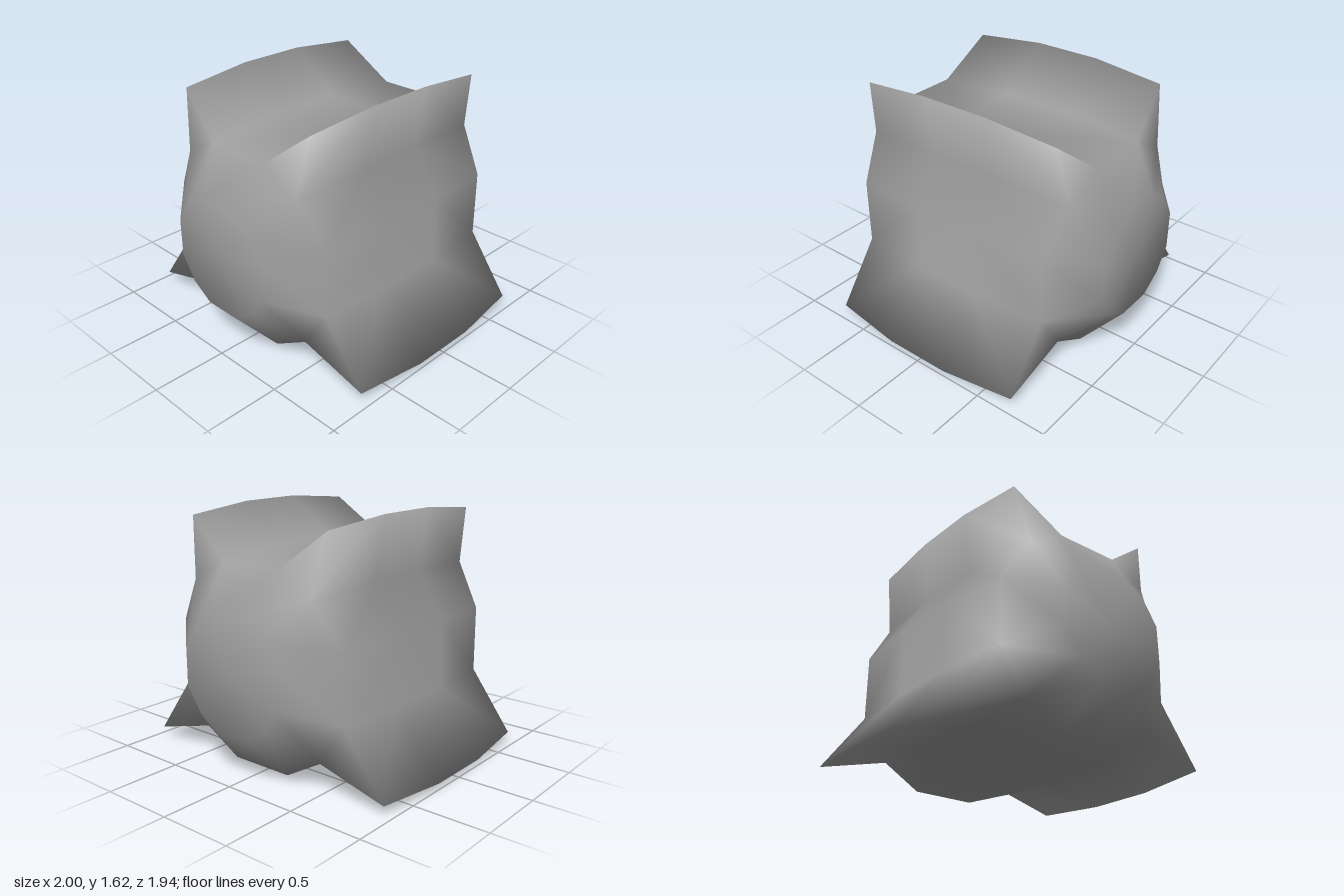
import * as THREE from 'three';

// Right half of a cross-section, top to bottom: [x, y, z of the end ring]
const MIDDLE = [[0.23, 1.365], [0.57, 1.62], [0.51, 1.21], [0.695, 0.91], [0.695, 0.46], [1, 0.04], [0.51, 0.155], [0.23, 0]];
const END = [[0.22, 1.325, 0.78], [0.55, 1.575, 0.72], [0.48, 1.19, 0.78], [0.66, 0.9, 0.72],
  [0.66, 0.46, 0.72], [0.95, 0.065, 0.72], [0.48, 0.19, 0.72], [0.22, 0.04, 0.72]];
// Small twelve-sided ring that closes each end
const CAP = [[0.125, 1.05], [0.275, 0.96], [0.375, 0.81], [0.375, 0.56], [0.275, 0.41], [0.125, 0.315]];
const N = 16;
// Ring points without the ear and foot tips
const BASE = [0, 2, 3, 4, 6, 7, 8, 9, 11, 12, 13, 15];
const TIPS = [[0, 1, 2], [4, 5, 6], [9, 10, 11], [13, 14, 15]];

// Full ring, clockwise seen from the front
function ring(half, side, depth) {
  const right = half.map(([x, y, z = depth]) => [x, y, side * z]);
  const left = right.map(([x, y, z]) => [-x, y, z]).reverse();
  return [...right, ...left];
}

// Smooth normals, each face weighted by its angle at the corner
function smoothNormals(points, faces) {
  const p = points.map((v) => new THREE.Vector3(...v));
  const normals = p.map(() => new THREE.Vector3());
  for (const f of faces) {
    f.forEach((id, k) => {
      const next = p[f[(k + 1) % f.length]].clone().sub(p[id]);
      const last = p[f[(k + f.length - 1) % f.length]].clone().sub(p[id]);
      const angle = next.angleTo(last);
      normals[id].addScaledVector(next.cross(last).normalize(), angle);
    });
  }
  return normals.flatMap((n) => n.normalize().toArray());
}

// Rounded block with ridges for ears and feet, run from back to front
function bodyGeometry() {
  const points = [
    ...ring(END, -1), ...ring(MIDDLE, -1, 0.23),
    ...ring(MIDDLE, 1, 0.23), ...ring(END, 1),
  ];
  const faces = [];

  // Walls between neighbouring rings, with mirrored diagonals
  for (let r = 0; r < 3; r++) {
    for (let i = 0; i < N; i++) {
      const a = r * N + i, b = r * N + (i + 1) % N;
      const flip = (r === 2) !== (i < 8);
      faces.push(flip ? [a + N, b + N, b, a] : [a, a + N, b + N, b]);
    }
  }

  // Ends: ear and foot tips, a sloping band and a round flat centre
  for (const side of [-1, 1]) {
    const base = side > 0 ? 3 * N : 0;
    const inner = points.length;
    points.push(...ring(CAP, side, 0.97), [0, 0.685, 0.97 * side]);
    const end = TIPS.map((tip) => tip.map((i) => base + i));
    for (let k = 0; k < 12; k++) {
      const n = (k + 1) % 12;
      end.push([base + BASE[k], base + BASE[n], inner + n, inner + k]);
      end.push([inner + k, inner + n, inner + 12]);
    }
    faces.push(...end.map((f) => (side > 0 ? f.reverse() : f)));
  }

  const index = faces.flatMap((f) => (f.length === 4 ? [f[0], f[1], f[2], f[0], f[2], f[3]] : f));
  const geometry = new THREE.BufferGeometry();
  geometry.setAttribute('position', new THREE.Float32BufferAttribute(points.flat(), 3));
  geometry.setAttribute('normal', new THREE.Float32BufferAttribute(smoothNormals(points, faces), 3));
  geometry.setIndex(index);
  return geometry;
}

export function createModel() {
  const model = new THREE.Group();
  model.name = 'earedBlock';
  const body = new THREE.Mesh(bodyGeometry(), new THREE.MeshStandardMaterial({ color: 0x9c9c9c }));
  body.name = 'bodyWithEarsAndFeet';
  model.add(body);
  return model;
}
